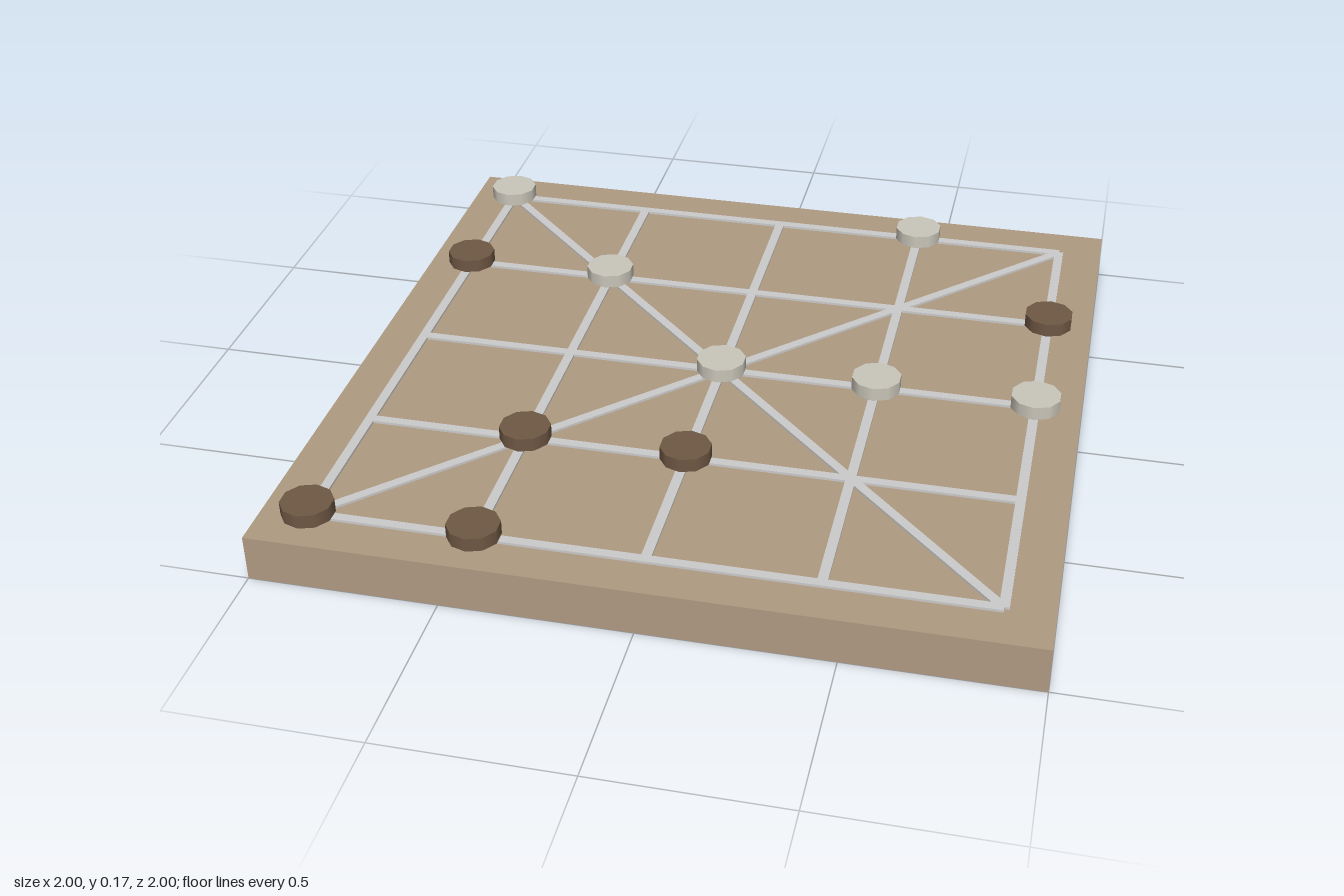
import * as THREE from 'three';

const STEP = 0.4375;     // spacing of the 5 x 5 grid
const SPAN = STEP * 4;
const BOARD_H = 0.127;
const LINE_TOP = 0.134;
const LINE_W = 0.026;

export function createModel() {
  const model = new THREE.Group();
  const material = (color) => new THREE.MeshStandardMaterial({ color });
  const wood = material(0xb09b82);
  const grey = material(0xcccccc);
  const light = material(0xcac6ba);
  const dark = material(0x705844);

  const add = (name, geometry, mat, x, y, z, parent = model) => {
    const mesh = new THREE.Mesh(geometry, mat);
    mesh.name = name;
    mesh.position.set(x, y, z);
    parent.add(mesh);
    return mesh;
  };

  // Board slab
  add('board', new THREE.BoxGeometry(2, BOARD_H, 2), wood, 0, BOARD_H / 2, 0);

  // Raised strips: five each way plus two diagonals, sunk slightly into the board
  const lines = new THREE.Group();
  lines.name = 'gridLines';
  model.add(lines);
  const lineH = 0.014;
  const lineY = LINE_TOP - lineH / 2;
  const strip = new THREE.BoxGeometry(SPAN, lineH, LINE_W);
  for (let i = -2; i <= 2; i++) {
    add('rowLine', strip, grey, 0, lineY, i * STEP, lines);
    add('columnLine', strip, grey, i * STEP, lineY, 0, lines).rotation.y = Math.PI / 2;
  }
  const diagonal = new THREE.BoxGeometry(SPAN * Math.SQRT2, lineH, LINE_W);
  for (const s of [-1, 1]) {
    add('diagonalLine', diagonal, grey, 0, lineY, 0, lines).rotation.y = s * Math.PI / 4;
  }

  // Playing pieces, placed by grid column and row
  const pieceH = 0.038;
  const disc = new THREE.CylinderGeometry(0.069, 0.069, pieceH, 10);
  const place = (name, mat, cells) => {
    const set = new THREE.Group();
    set.name = name + 's';
    model.add(set);
    for (const [c, r] of cells) {
      add(name, disc, mat, c * STEP, LINE_TOP + pieceH / 2, r * STEP, set);
    }
  };
  place('lightPiece', light, [[-2, -2], [1, -2], [-1, -1], [0, 0], [1, 0], [2, 0]]);
  place('darkPiece', dark, [[-2, -1], [2, -1], [-1, 1], [0, 1], [-2, 2], [-1, 2]]);

  return model;
}
